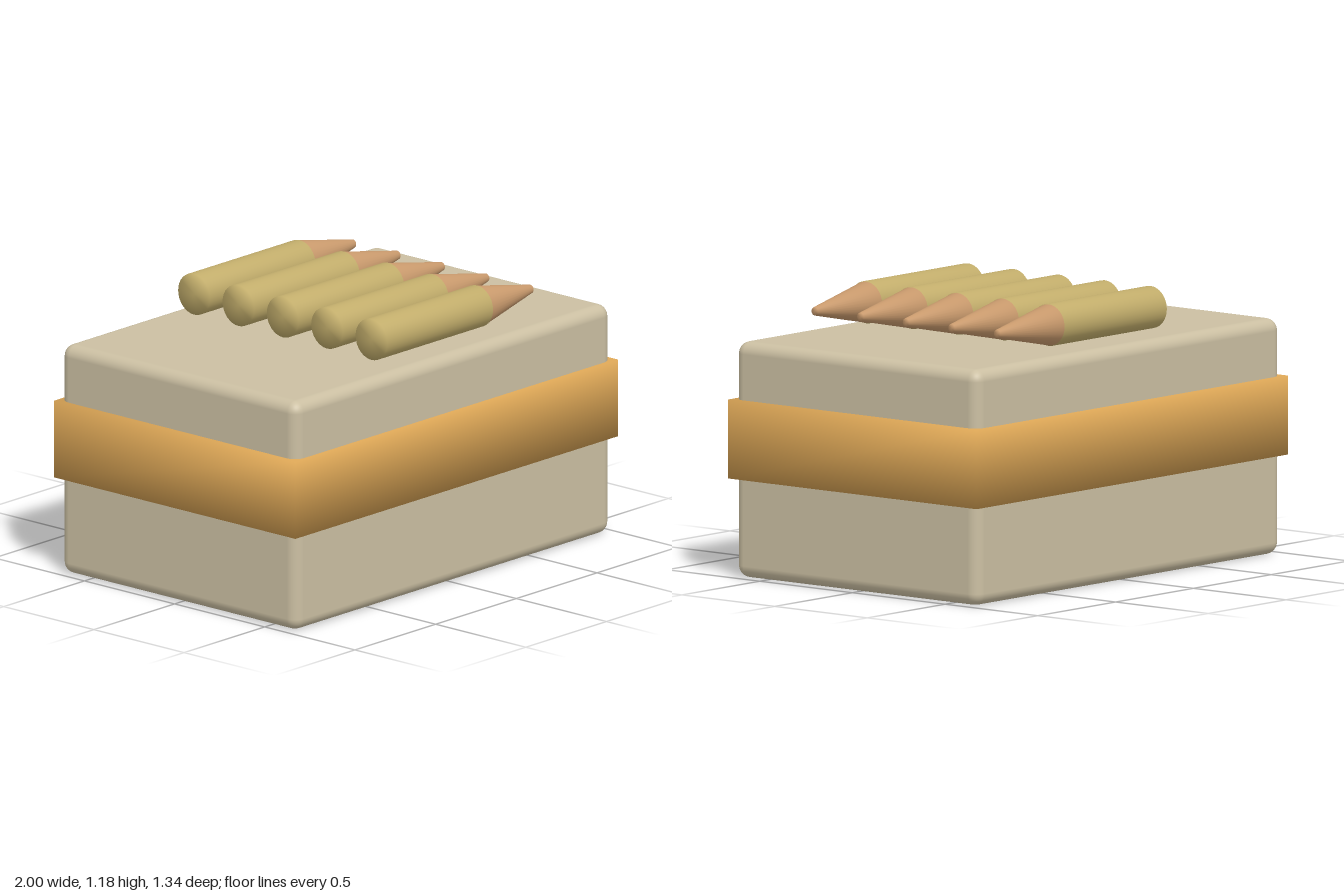
import * as THREE from 'three';
import { mergeVertices } from 'three/addons/utils/BufferGeometryUtils.js';
import { RoundedBoxGeometry } from 'three/addons/geometries/RoundedBoxGeometry.js';

const paint = (name, color) => {
  const m = new THREE.MeshStandardMaterial({ color });
  m.name = name;
  return m;
};

// Shares corner vertices so shading runs softly across every edge.
function softened(geometry) {
  geometry.deleteAttribute('normal');
  geometry.deleteAttribute('uv');
  const merged = mergeVertices(geometry, 1e-4);
  merged.computeVertexNormals();
  return merged;
}

function part(parent, name, geometry, material, x, y, z) {
  const mesh = new THREE.Mesh(geometry, material);
  mesh.name = name;
  mesh.position.set(x, y, z);
  parent.add(mesh);
  return mesh;
}

export function createModel() {
  const model = new THREE.Group();
  model.name = 'ammunitionBox';

  const cardboard = paint('beige card', 0xcbbfa2);
  const amber = paint('amber band', 0xdca656);
  const brass = paint('brass', 0xc2ad6b);
  const copper = paint('copper', 0xc8996c);

  // Carton with rounded edges
  part(model, 'carton', new RoundedBoxGeometry(1.96, 0.985, 1.31, 4, 0.05), cardboard, 0, 0.4925, 0);

  // Wraparound band
  part(model, 'band', softened(new THREE.BoxGeometry(2, 0.33, 1.34)), amber, 0, 0.578, 0);

  // Row of cartridges lying on the lid, pointing to +x
  const casing = softened(new THREE.CylinderGeometry(0.088, 0.088, 0.655, 32)).rotateZ(-Math.PI / 2);
  const tip = softened(new THREE.CylinderGeometry(0.018, 0.086, 0.33, 32)).rotateZ(-Math.PI / 2);
  for (let i = -2; i <= 2; i++) {
    const cartridge = new THREE.Group();
    cartridge.name = 'cartridge';
    cartridge.position.set(0, 1.089, i * 0.246);
    part(cartridge, 'casing', casing, brass, -0.0025, 0, 0);
    part(cartridge, 'tip', tip, copper, 0.49, 0, 0);
    model.add(cartridge);
  }
  return model;
}
